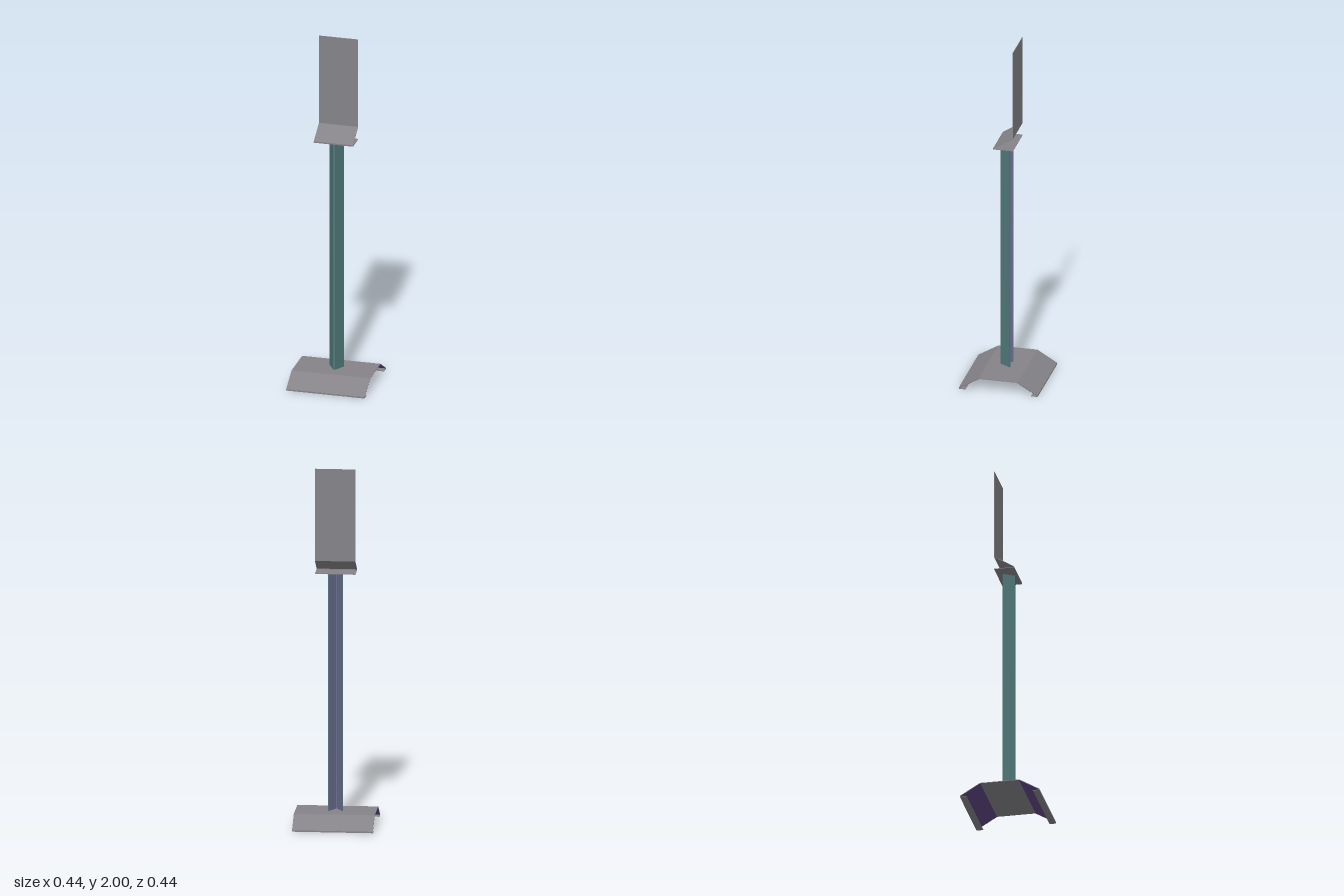
import * as THREE from 'three';

const mat = (name, color) => {
  const m = new THREE.MeshStandardMaterial({ color });
  m.name = name;
  return m;
};

// Folded sheet section: follows a polyline, between offsets a and b on its left side
function foldedShape(path, a, b) {
  const p = path.map(([x, y]) => new THREE.Vector2(x, y));
  const normals = p.slice(1).map((q, i) => {
    const d = q.clone().sub(p[i]).normalize();
    return new THREE.Vector2(-d.y, d.x);
  });
  const offset = (d) => p.map((q, i) => {
    const n1 = normals[Math.max(i - 1, 0)];
    const n2 = normals[Math.min(i, normals.length - 1)];
    const mitre = n1.clone().add(n2).divideScalar(1 + n1.dot(n2));
    return q.clone().addScaledVector(mitre, d);
  });
  return new THREE.Shape([...offset(a), ...offset(b).reverse()]);
}

// Section drawn in (z, y), extruded across the width
function sheet(name, path, width, material, a = 0, b = 0.003) {
  const g = new THREE.ExtrudeGeometry(foldedShape(path, a, b), { depth: width, bevelEnabled: false });
  g.translate(0, 0, -width / 2).rotateY(-Math.PI / 2);
  const mesh = new THREE.Mesh(g, material);
  mesh.name = name;
  return mesh;
}

// Section drawn in (x, z), extruded upwards
function column(name, path, y0, y1, material, a, b) {
  const g = new THREE.ExtrudeGeometry(foldedShape(path, a, b), { depth: y1 - y0, bevelEnabled: false });
  g.rotateX(Math.PI / 2).translate(0, y1, 0);
  const mesh = new THREE.Mesh(g, material);
  mesh.name = name;
  return mesh;
}

export function createModel() {
  const grey = mat('sheet grey', 0x858388);
  const teal = mat('post teal', 0x4f7878);
  const blue = mat('post inner blue', 0x686e8c);
  const purple = mat('flange inner purple', 0x5c4580);
  const group = new THREE.Group();
  group.name = 'signStand';

  // Base: flat top, sloping flanges and inward lips
  const half = [[0.185, 0], [0.222, 0], [0.222, 0.008], [0.11, 0.075]];
  const mirrored = half.map(([z, y]) => [-z, y]).reverse();
  group.add(sheet('base', [...half, ...mirrored], 0.444, grey));
  group.add(sheet('frontFlangeLining', half.slice(2), 0.444, purple, 0.003, 0.004));
  group.add(sheet('backFlangeLining', mirrored.slice(0, 2), 0.444, purple, 0.003, 0.004));

  // V-section post, open at the back
  const vee = [[0.041, -0.02], [0.005, 0.04], [-0.005, 0.04], [-0.041, -0.02]];
  group.add(column('post', vee, 0.074, 1.411, teal, 0, 0.003));
  group.add(column('postLining', vee, 0.075, 1.41, blue, 0.003, 0.004));

  // Upper bracket folded up into the tall panel
  const bracket = [[-0.055, 1.41], [0.056, 1.41], [0.056, 1.418], [-0.052, 1.485], [-0.052, 2]];
  group.add(sheet('panelAndBracket', bracket, 0.222, grey));
  return group;
}
